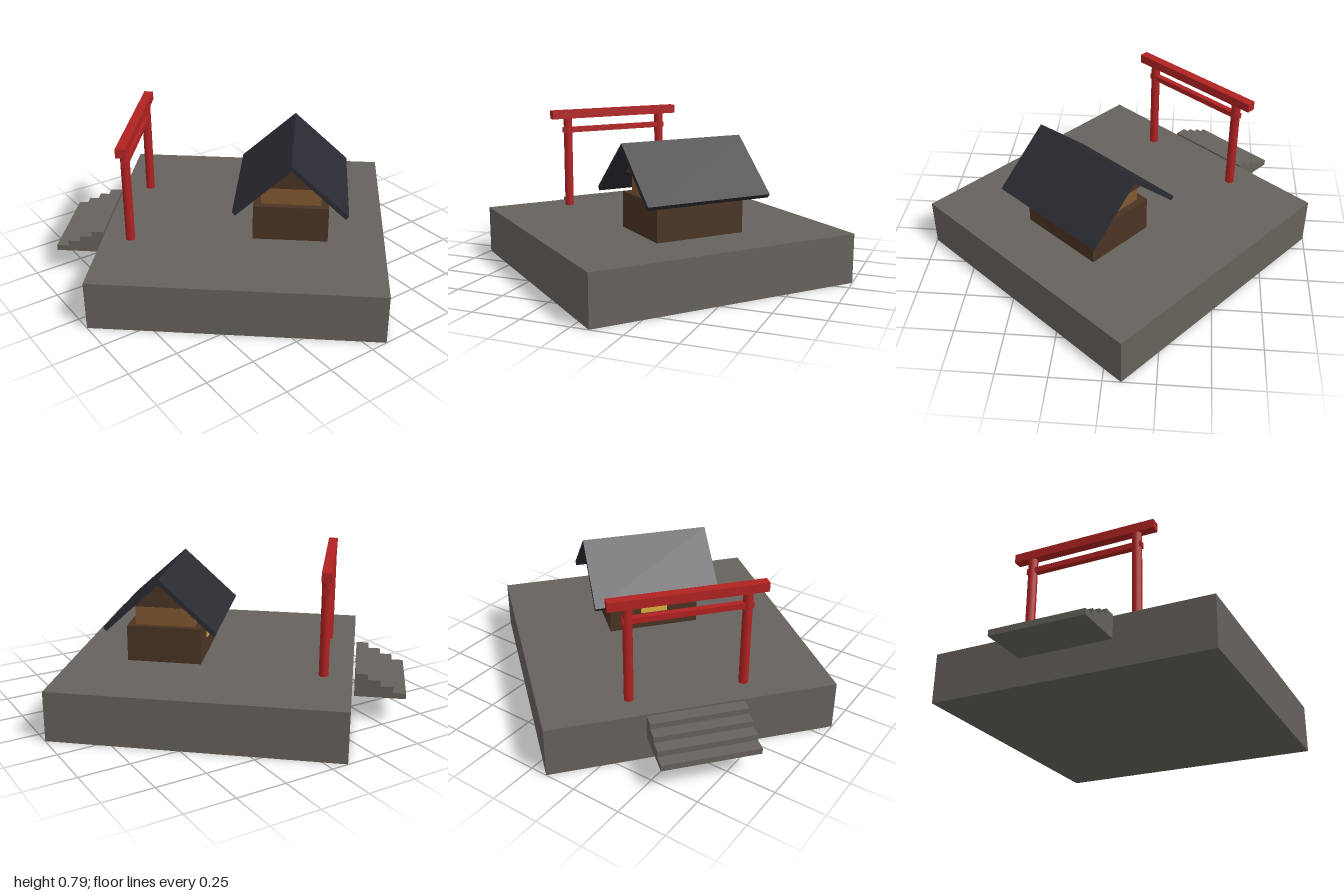
import * as THREE from 'three';

const mat = (color) => new THREE.MeshStandardMaterial({ color });

export function createModel() {
  const model = new THREE.Group();
  model.name = 'shrine';
  // the whole scene is turned on its plot
  model.rotation.y = -THREE.MathUtils.degToRad(40);

  const stone = mat(0x66625c), red = mat(0xb22222), slate = mat(0x2a2a32);
  const darkWood = mat(0x4a3423), lightWood = mat(0x80582f), glow = mat(0xe0b040);

  const add = (name, geometry, material, x = 0, y = 0, z = 0, parent = model) => {
    const mesh = new THREE.Mesh(geometry, material);
    mesh.name = name;
    mesh.position.set(x, y, z);
    parent.add(mesh);
    return mesh;
  };
  // box given by its width, bottom, top and depth
  const addBox = (name, material, w, y0, y1, d, x, z, parent) =>
    add(name, new THREE.BoxGeometry(w, y1 - y0, d), material, x, (y0 + y1) / 2, z, parent);
  // (z, y) outline extruded along x, centred
  const profile = (points, length) => {
    const shape = new THREE.Shape(points.map(([z, y]) => new THREE.Vector2(z, y)));
    return new THREE.ExtrudeGeometry(shape, { depth: length, bevelEnabled: false })
      .translate(0, 0, -length / 2)
      .rotateY(-Math.PI / 2);
  };

  // Stone platform
  const ground = 0.252;
  addBox('platform', stone, 1.419, 0, ground, 1.419, 0, 0);

  // Stairs: one solid stepped outline
  const front = 0.721, tread = 0.0625, base = 0.134, rise = (ground - base) / 4;
  const steps = [[front, base], [front + 4 * tread, base]];
  for (let i = 0; i < 4; i++) {
    const z = front + (4 - i) * tread, y = base + (i + 1) * rise;
    steps.push([z, y], [z - tread, y]);
  }
  // extrusion maps outline x to +z
  add('stairs', profile(steps, 0.473), stone);

  // Gate
  const gate = new THREE.Group();
  gate.name = 'gate';
  gate.position.z = 0.569;
  model.add(gate);
  for (const side of [-1, 1]) {
    add('gatePost', new THREE.CylinderGeometry(0.0237, 0.0237, 0.5, 12), red,
      side * 0.284, ground + 0.25, 0, gate);
  }
  addBox('topBeam', red, 0.757, 0.744, 0.79, 0.047, 0, 0, gate);
  addBox('lowerBeam', red, 0.622, 0.665, 0.694, 0.03, 0, 0, gate);

  // House
  const house = new THREE.Group();
  house.name = 'house';
  house.position.z = -0.2365;
  model.add(house);
  addBox('walls', darkWood, 0.473, ground, 0.437, 0.378, 0, 0, house);
  addBox('upperWalls', lightWood, 0.408, 0.437, 0.541, 0.302, 0, 0, house);
  addBox('window', glow, 0.14, 0.342, 0.435, 0.012, 0, 0.189, house);
  add('gable', profile([[-0.154, 0.541], [0.154, 0.541], [0, 0.68]], 0.473), darkWood, 0, 0, 0, house);
  // Roof: two slopes meeting at the ridge, open underneath
  add('roof', profile([
    [0, 0.71], [-0.284, 0.453], [-0.269, 0.434], [0, 0.683], [0.269, 0.434], [0.284, 0.453],
  ], 0.662), slate, 0, 0, 0, house);

  const root = new THREE.Group();
  root.add(model);
  return root;
}
